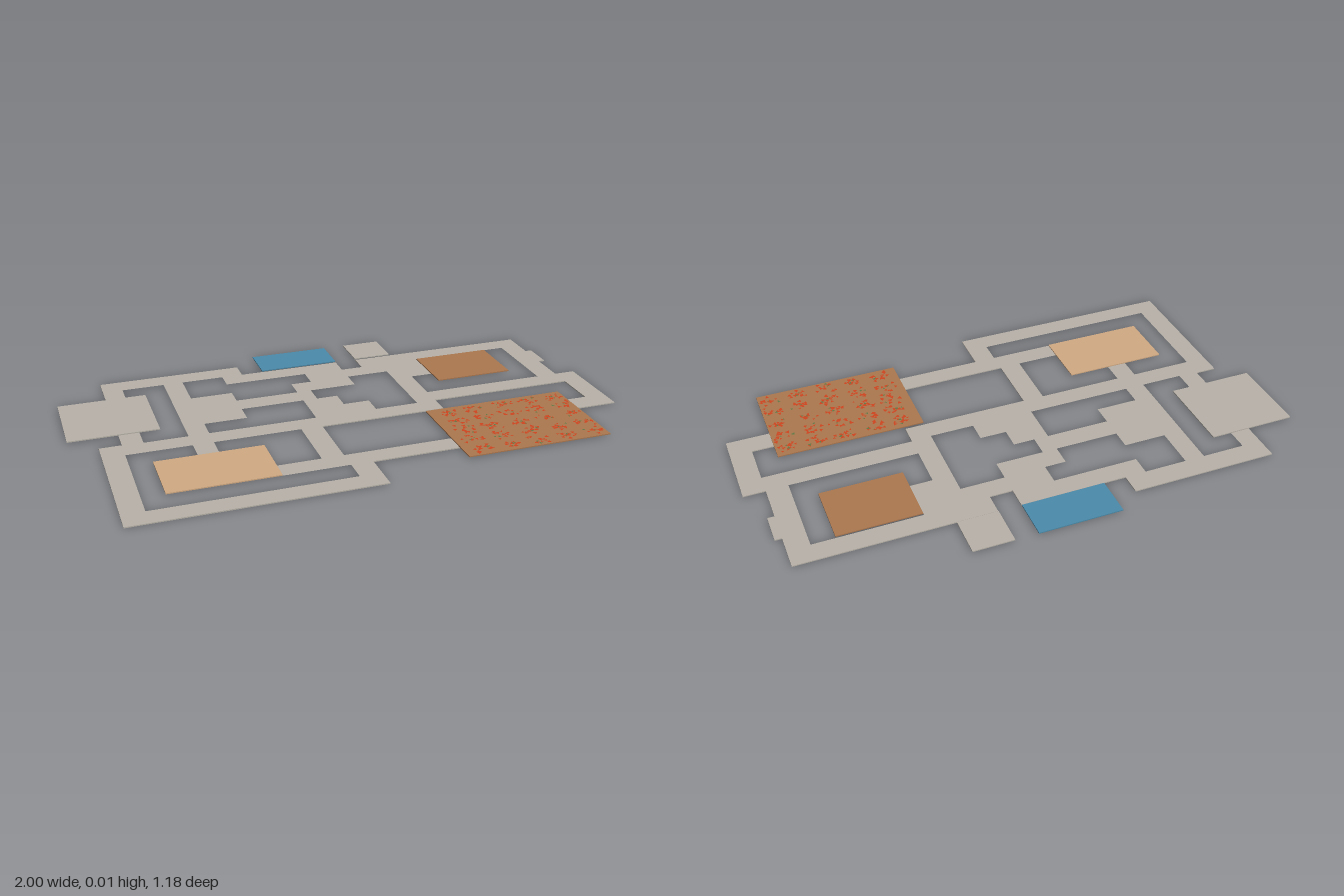
import * as THREE from 'three';
import { mergeGeometries } from 'three/addons/utils/BufferGeometryUtils.js';

const material = (name, color) => {
  const m = new THREE.MeshStandardMaterial({ color });
  m.name = name;
  return m;
};

export function createModel() {
  const group = new THREE.Group();
  group.name = 'floorPlan';

  const stone = material('stone grey', 0xb8b2a9);
  const water = material('water blue', 0x4b8bab);
  const earth = material('earth brown', 0xad784f);
  const sand = material('sand tan', 0xd2aa83);
  const red = material('blossom red', 0xd0451f);
  const green = material('leaf green', 0x5f7a45);
  red.side = green.side = THREE.DoubleSide;

  const add = (name, geometry, mat) => {
    const mesh = new THREE.Mesh(geometry, mat);
    mesh.name = name;
    group.add(mesh);
    return mesh;
  };

  // Plan points are [x, z]; the shape is laid flat afterwards
  const toPoints = (list) => list.map(([x, z]) => new THREE.Vector2(x, -z));
  const rect = (x0, z0, x1, z1) => [[x0, z0], [x1, z0], [x1, z1], [x0, z1]];

  // Network of walkways: one outline with the rooms cut out
  const walkways = new THREE.Shape(toPoints([
    [-0.82, -0.52], [-0.27, -0.52], [-0.27, -0.44], [0.125, -0.44], [0.125, -0.36], [0.21, -0.36],
    [0.21, -0.44], [0.92, -0.44], [0.92, -0.3], [0.945, -0.3], [0.945, -0.185], [0.92, -0.185],
    [0.92, -0.045], [1, -0.045], [1, 0.27], [0.84, 0.27], [0.84, 0.19], [0.92, 0.19],
    [0.92, 0.03], [0.365, 0.03], [0.365, 0.11], [-0.11, 0.11], [-0.11, 0.35], [0.29, 0.35],
    [0.29, 0.425], [-0.03, 0.425], [-0.03, 0.585], [-0.9, 0.585], [-0.9, 0.03], [-0.82, 0.03],
  ]));
  const rooms = [
    rect(-0.745, -0.44, -0.585, 0.035),
    [[-0.51, -0.44], [-0.35, -0.44], [-0.35, -0.365], [-0.03, -0.365], [-0.03, -0.285],
      [-0.11, -0.285], [-0.11, -0.205], [-0.35, -0.205], [-0.35, -0.28], [-0.51, -0.28]],
    [[-0.51, -0.045], [-0.35, -0.045], [-0.35, -0.125], [-0.11, -0.125], [-0.11, 0.035], [-0.51, 0.035]],
    [[0.125, -0.285], [0.29, -0.285], [0.29, 0.035], [0.125, 0.035], [0.125, -0.045],
      [0.025, -0.045], [0.025, -0.125], [-0.055, -0.125], [-0.055, -0.205], [0.125, -0.205]],
    [[0.45, -0.365], [0.84, -0.365], [0.84, -0.045], [0.365, -0.045], [0.365, -0.205], [0.45, -0.205]],
    [[-0.82, 0.11], [-0.585, 0.11], [-0.585, 0.2], [-0.51, 0.2], [-0.51, 0.11], [-0.19, 0.11],
      [-0.19, 0.35], [-0.35, 0.35], [-0.35, 0.425], [-0.11, 0.425], [-0.11, 0.51], [-0.82, 0.51]],
  ];
  walkways.holes = rooms.map((r) => new THREE.Path(toPoints(r)));
  const walkGeometry = new THREE.ExtrudeGeometry(walkways, { depth: 0.004, bevelEnabled: false });
  add('walkways', walkGeometry.rotateX(-Math.PI / 2), stone);

  // Raised rectangular plots
  const plot = (name, x0, z0, x1, z1, mat) => {
    const mesh = add(name, new THREE.BoxGeometry(x1 - x0, 0.004, z1 - z0), mat);
    mesh.position.set((x0 + x1) / 2, 0.006, (z0 + z1) / 2);
  };
  plot('squareTerrace', -1, -0.36, -0.67, -0.05, stone);
  plot('smallTerrace', 0.21, -0.595, 0.36, -0.445, stone);
  plot('pool', -0.185, -0.595, 0.125, -0.445, water);
  plot('sandPlot', -0.74, 0.195, -0.35, 0.425, sand);
  plot('earthPlot', 0.45, -0.36, 0.755, -0.13, earth);
  plot('flowerBed', 0.29, 0.12, 0.84, 0.505, earth);

  // Seeded clumps of flat petals and leaves, five by five, on both faces of the bed
  let seed = 7;
  const random = () => (seed = (seed * 16807) % 2147483647) / 2147483647;
  const petals = [];
  const leaves = [];
  const scatter = (col, row, y, count) => {
    for (let i = 0; i < count; i++) {
      const leaf = i % 6 === 5;
      const speck = new THREE.CircleGeometry((leaf ? 0.004 : 0.006) + random() * 0.005, 3);
      speck.rotateX(-Math.PI / 2).rotateY(random() * 6.28);
      const x = 0.36 + col * 0.11 + (random() + random() - 1) * 0.045;
      const z = 0.16 + row * 0.076 + (random() + random() - 1) * 0.035;
      speck.translate(Math.min(x, 0.828), y + i * 0.00005, z);
      (leaf ? leaves : petals).push(speck);
    }
  };
  for (let col = 0; col < 5; col++) {
    for (let row = 0; row < 5; row++) {
      scatter(col, row, 0.0085, 14);
      scatter(col, row, 0.003, 7);
    }
  }
  add('petals', mergeGeometries(petals), red);
  add('leaves', mergeGeometries(leaves), green);

  return group;
}
